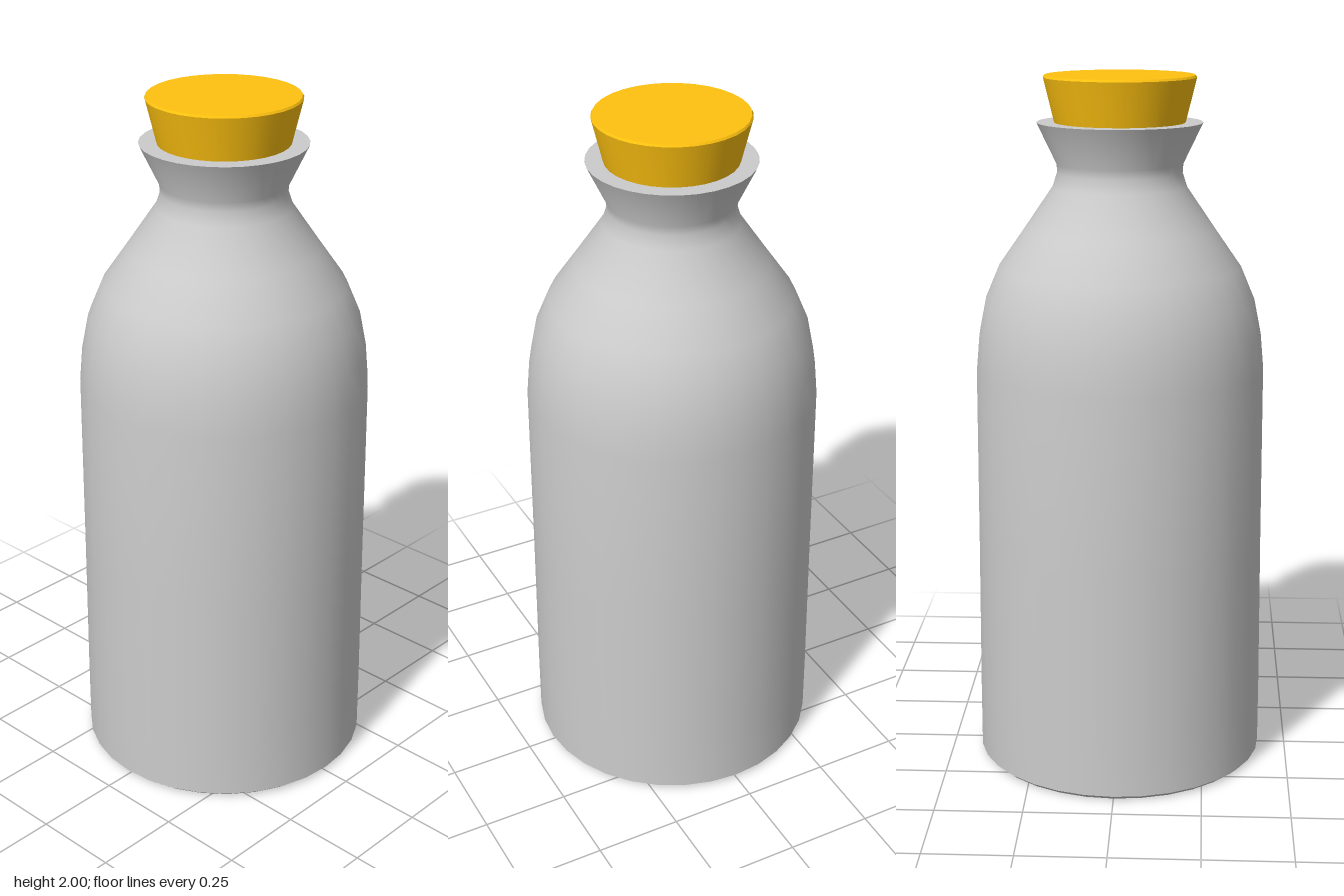
import * as THREE from 'three';
import { toCreasedNormals } from 'three/addons/utils/BufferGeometryUtils.js';

const SIDES = 32;

// Revolve a bottom-to-top [radius, height] profile, keeping sharp edges crisp
function turned(name, profile, color) {
  const points = profile.map(([r, y]) => new THREE.Vector2(r, y));
  const geometry = toCreasedNormals(new THREE.LatheGeometry(points, SIDES), 0.6);
  const mesh = new THREE.Mesh(geometry, new THREE.MeshStandardMaterial({ color }));
  mesh.name = name;
  return mesh;
}

export function createModel() {
  const model = new THREE.Group();
  model.name = 'corkedBottle';

  // Bottle: bevelled foot, slightly tapered body, round shoulder, flared lip and mouth
  model.add(turned('bottle', [
    [0, 0], [0.405, 0], [0.419, 0.012], [0.419, 0.2], [0.416, 0.65], [0.414, 1.17],
    [0.405, 1.27], [0.385, 1.37], [0.345, 1.465], [0.272, 1.57],
    [0.19, 1.69], [0.177, 1.73], [0.179, 1.755], [0.234, 1.87],
    [0.183, 1.87], [0.155, 1.76], [0, 1.76],
  ], 0xcccccc));

  // Cork: tapered plug with a fine bevel round the top
  model.add(turned('cork', [
    [0, 1.77], [0.16, 1.77], [0.215, 1.994], [0.211, 2], [0, 2],
  ], 0xffc210));

  return model;
}
